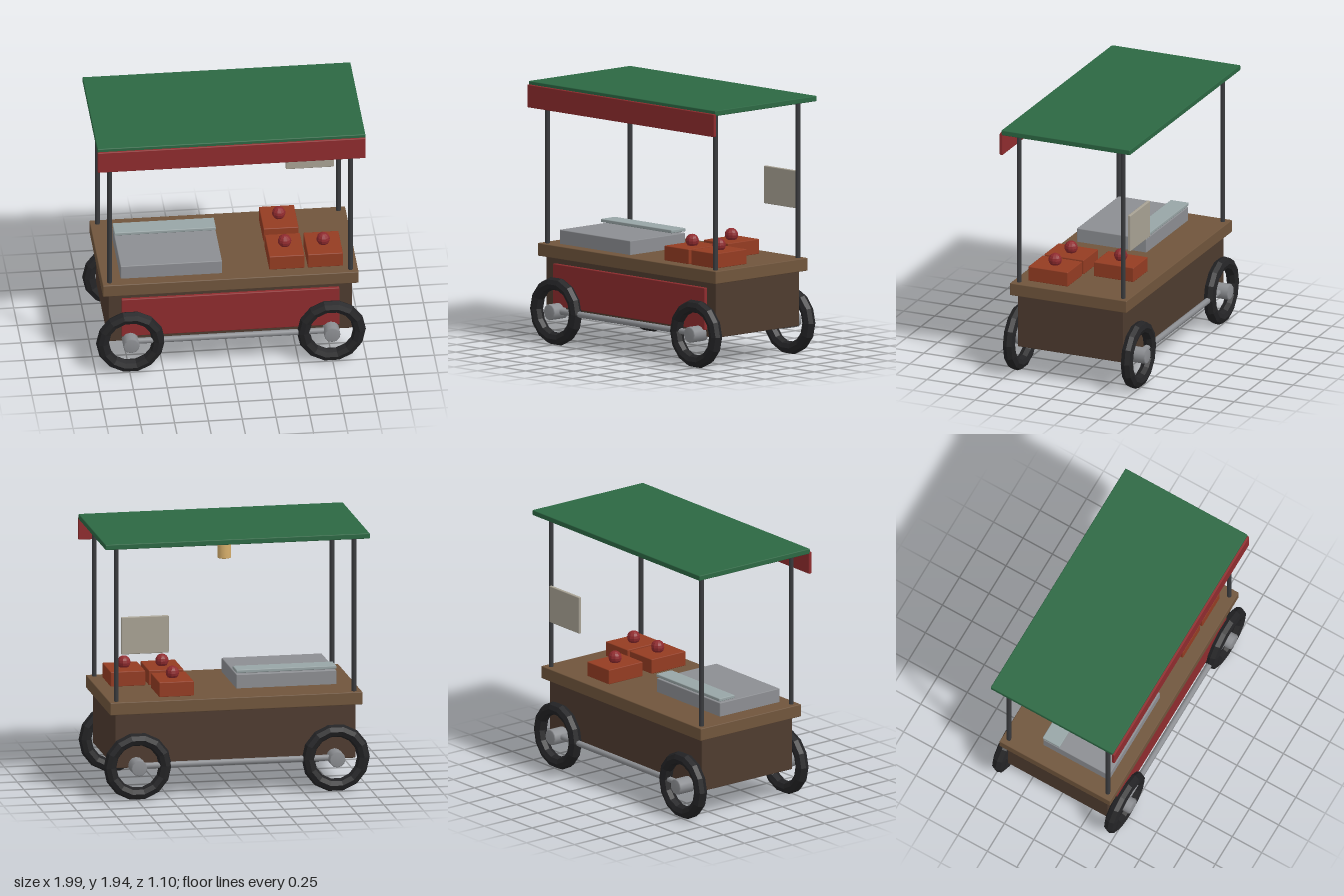
import * as THREE from 'three';
import { RoundedBoxGeometry } from 'three/addons/geometries/RoundedBoxGeometry.js';

const mat = (color, flatShading = false) => new THREE.MeshStandardMaterial({ color, flatShading });

export function createModel() {
  const group = new THREE.Group();
  const wood = mat(0x4e3b2f), counterWood = mat(0x70553c), red = mat(0x8f2c2e), green = mat(0x2c6843);
  const steel = mat(0x8c8e92), postMetal = mat(0x3a3b3e), rubber = mat(0x232325, true);
  const crateWood = mat(0x943c22), fruitRed = mat(0x8f2a2e, true);

  const add = (name, geometry, material, x = 0, y = 0, z = 0) => {
    const mesh = new THREE.Mesh(geometry, material);
    mesh.name = name;
    mesh.position.set(x, y, z);
    group.add(mesh);
    return mesh;
  };
  // Softly bevelled box given by its min and max on each axis
  const box = (name, material, [x0, x1], [y0, y1], [z0, z1]) =>
    add(name, new RoundedBoxGeometry(x1 - x0, y1 - y0, z1 - z0, 1, 0.006), material,
      (x0 + x1) / 2, (y0 + y1) / 2, (z0 + z1) / 2);
  // Bevelled cylinder, centred on its own axis
  const rod = (radius, length, sides, bevel = 0.005) => {
    const h = length / 2;
    const profile = [[0, -h], [radius - bevel, -h], [radius, -h + bevel],
      [radius, h - bevel], [radius - bevel, h], [0, h]].map(([a, b]) => new THREE.Vector2(a, b));
    return new THREE.LatheGeometry(profile, sides);
  };

  // Body and counter
  box('body', wood, [-0.9, 0.9], [0.235, 0.65], [-0.425, 0.425]);
  box('frontPanel', red, [-0.805, 0.805], [0.285, 0.6], [0.42, 0.45]);
  box('counter', counterWood, [-0.945, 0.945], [0.645, 0.74], [-0.47, 0.47]);

  // Roof with front valance
  box('roof', green, [-0.99, 0.99], [1.905, 1.945], [-0.518, 0.518]);
  box('valance', red, [-0.99, 0.99], [1.75, 1.92], [0.508, 0.533]);

  // Wheels, hubs, side rods and roof posts
  for (const sz of [-1, 1]) {
    for (const sx of [-1, 1]) {
      add('tyre', new THREE.TorusGeometry(0.207, 0.048, 8, 14), rubber, sx * 0.742, 0.255, sz * 0.475);
      add('hub', rod(0.06, 0.15, 12, 0.008), steel, sx * 0.742, 0.255, sz * 0.475).rotation.x = Math.PI / 2;
      add('roofPost', rod(0.018, 1.19, 8, 0.003), postMetal, sx * 0.89, 1.32, sz * 0.42);
    }
    add('sideRod', rod(0.023, 1.48, 8), steel, 0, 0.258, sz * 0.475).rotation.z = Math.PI / 2;
  }

  // Griddle with a raised rear shelf
  box('griddle', steel, [-0.805, -0.055], [0.735, 0.845], [-0.18, 0.38]);
  box('griddleShelf', mat(0x98a5a6), [-0.805, -0.055], [0.855, 0.88], [-0.185, -0.04]);

  // Fruit crates
  for (const [x, z] of [[0.425, 0.21], [0.71, 0.21], [0.425, -0.19]]) {
    box('crate', crateWood, [x - 0.13, x + 0.13], [0.738, 0.85], [z - 0.16, z + 0.16]);
    add('fruit', new THREE.SphereGeometry(0.05, 10, 8), fruitRed, x, 0.885, z);
  }

  // Hanging lantern and price board
  add('lantern', rod(0.052, 0.15, 12), mat(0xd9b06c), 0, 1.765, 0);
  box('board', mat(0xa8a294), [0.505, 0.86], [1.1, 1.38], [-0.465, -0.44]);

  return group;
}
